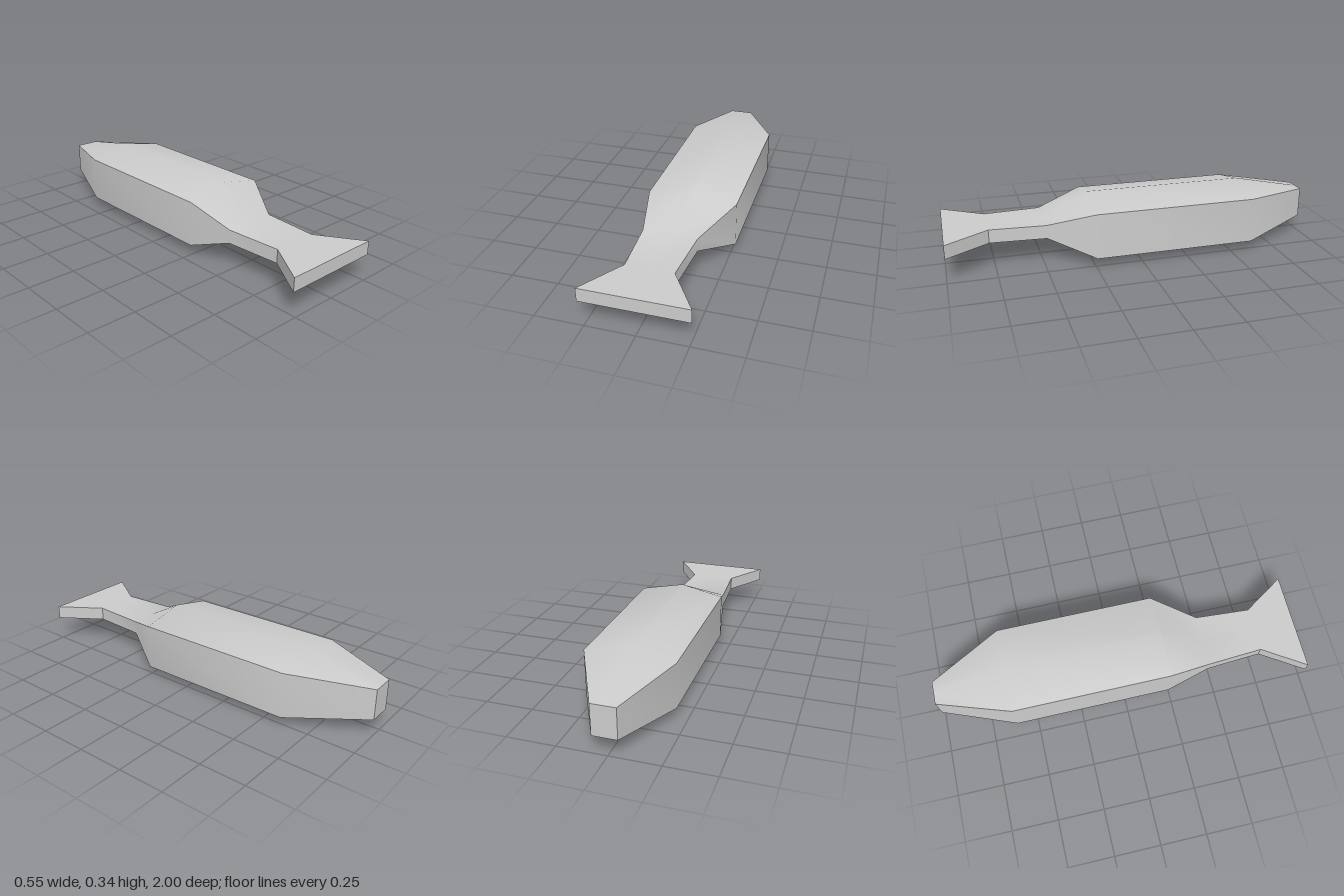
import * as THREE from 'three';
import { toCreasedNormals } from 'three/addons/utils/BufferGeometryUtils.js';

// Cross-sections from nose to tail: z, xMin, xMax, ridgeX, side low/high y, ridge low/high y
const SECTIONS = [
  [-1.00, -0.05, 0.075, 0.012, 0.09, 0.252, 0.09, 0.252],
  [-0.61, -0.193, 0.273, 0.04, 0.05, 0.291, 0, 0.34],
  [0.245, -0.193, 0.273, 0.04, 0.05, 0.291, 0, 0.34],
  [0.48, -0.148, 0.135, -0.006, 0.135, 0.207, 0.135, 0.207],
  [0.775, -0.129, 0.115, -0.006, 0.135, 0.207, 0.135, 0.207],
  [1.00, -0.274, 0.262, -0.006, 0.135, 0.207, 0.135, 0.207],
];

// Six-sided ring, counterclockwise seen from +z
function ring([z, x0, x1, xr, low, high, ridgeLow, ridgeHigh]) {
  return [
    [x1, low, z], [x1, high, z], [xr, ridgeHigh, z],
    [x0, high, z], [x0, low, z], [xr, ridgeLow, z],
  ];
}

function loftGeometry(sections) {
  const rings = sections.map(ring);
  const n = rings[0].length;
  const index = [];
  // Skin between neighbouring rings
  for (let s = 0; s < rings.length - 1; s++) {
    for (let i = 0; i < n; i++) {
      const j = (i + 1) % n;
      const a = s * n + i, b = s * n + j, c = a + n, d = b + n;
      index.push(a, b, d, a, d, c);
    }
  }
  // Flat nose and tail ends
  const last = (rings.length - 1) * n;
  for (let i = 1; i < n - 1; i++) {
    index.push(0, i + 1, i);
    index.push(last, last + i, last + i + 1);
  }
  const geometry = new THREE.BufferGeometry();
  geometry.setAttribute('position', new THREE.Float32BufferAttribute(rings.flat(2), 3));
  geometry.setIndex(index);
  // Smooth ridge and flanks, sharp side edges and tail corners
  return toCreasedNormals(geometry, 0.58);
}

export function createModel() {
  const grey = new THREE.MeshStandardMaterial({ color: 0xcccccc });
  grey.name = 'light grey';

  const body = new THREE.Mesh(loftGeometry(SECTIONS), grey);
  body.name = 'fishBodyAndTail';

  const model = new THREE.Group();
  model.name = 'fish';
  model.add(body);
  return model;
}
